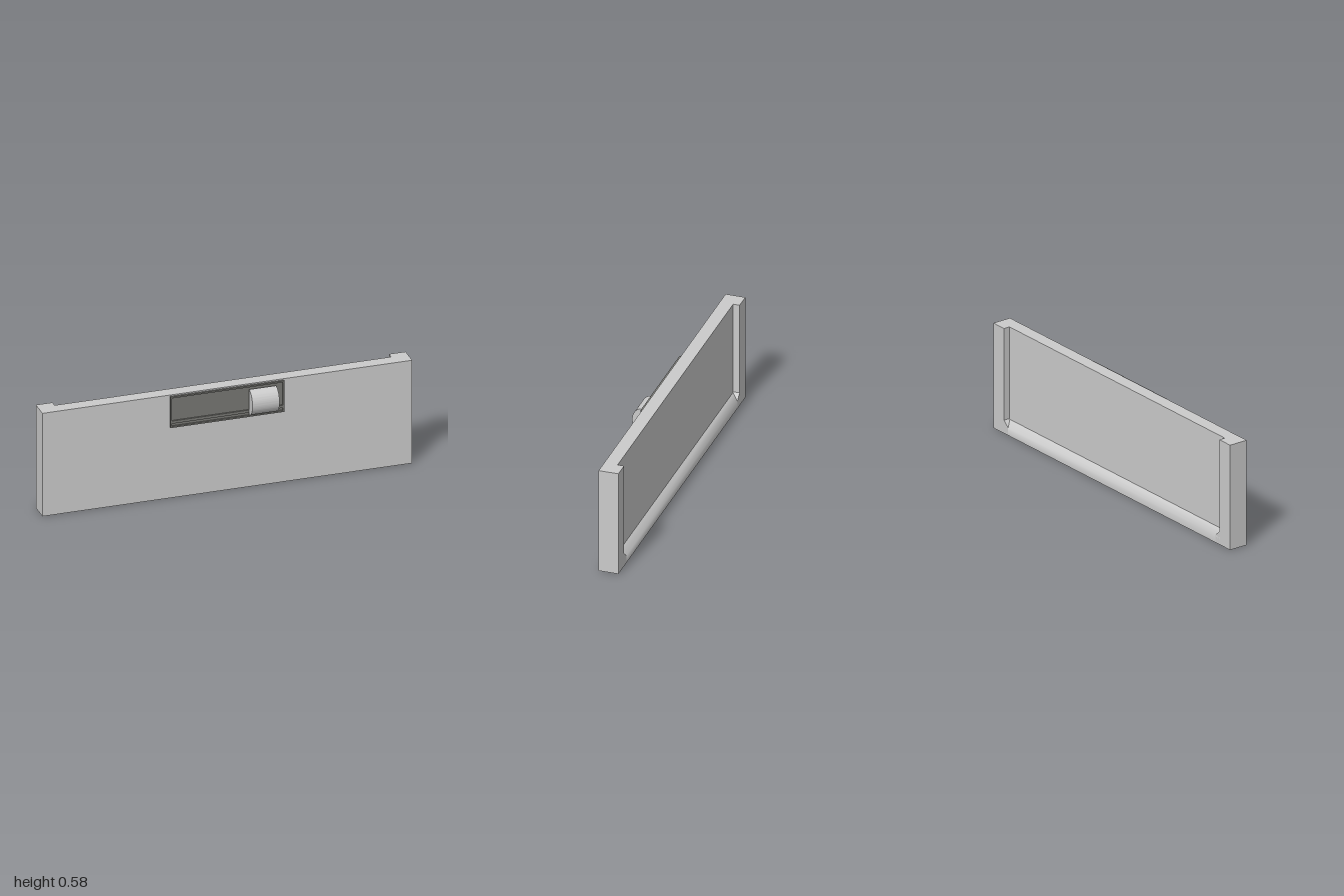
import * as THREE from 'three';
import { toCreasedNormals } from 'three/addons/utils/BufferGeometryUtils.js';

const grey = new THREE.MeshStandardMaterial({ color: 0xcccccc });
const dark = new THREE.MeshStandardMaterial({ color: 0x787874 });

const H = 0.585, FRONT = 0.017, FLOOR = -0.055, BACK = -0.09;

function add(group, name, geometry, material = grey) {
  const mesh = new THREE.Mesh(geometry, material);
  mesh.name = name;
  group.add(mesh);
  return mesh;
}

// box given by its limits on each axis
function box(x0, x1, y0, y1, z0, z1) {
  return new THREE.BoxGeometry(x1 - x0, y1 - y0, z1 - z0)
    .translate((x0 + x1) / 2, (y0 + y1) / 2, (z0 + z1) / 2);
}

function polygon(points) {
  return new THREE.Shape(points.map(([x, y]) => new THREE.Vector2(x, y)));
}

// profile of (z, y) points swept along x
function sweepX(shape, x0, x1, curveSegments = 12) {
  return new THREE.ExtrudeGeometry(shape, { depth: x1 - x0, bevelEnabled: false, curveSegments })
    .rotateY(-Math.PI / 2).scale(1, 1, 1).translate(x1, 0, 0);
}

export function createModel() {
  const model = new THREE.Group();
  model.name = 'drawerFront';

  // front board
  add(model, 'board', box(-1, 1, 0, H, FLOOR, FRONT));

  // raised end posts on the back, with a small chamfer at the foot
  for (const s of [-1, 1]) {
    const outline = polygon([[s, 0], [s, H], [s * 0.91, H], [s * 0.91, 0.073], [s * 0.875, 0.042], [s * 0.875, 0]]);
    const post = new THREE.ExtrudeGeometry(outline, { depth: FLOOR - BACK, bevelEnabled: false });
    add(model, s > 0 ? 'leftPost' : 'rightPost', post.translate(0, 0, BACK));
  }

  // bottom ledge on the back with a softly sloping top
  const ledge = sweepX(polygon([[FLOOR, 0], [FLOOR, 0.07], [BACK, 0.042], [BACK, 0]]), -0.91, 0.91);
  add(model, 'bottomLedge', toCreasedNormals(ledge, 1));

  // latch plate: shallow tray with a raised rim
  const latch = new THREE.Group();
  latch.name = 'latch';
  model.add(latch);
  const rim = polygon([[-0.31, 0.402], [0.306, 0.402], [0.306, 0.578], [-0.31, 0.578]]);
  rim.holes.push(polygon([[-0.302, 0.41], [-0.302, 0.57], [0.298, 0.57], [0.298, 0.41]]));
  add(latch, 'plateRim', new THREE.ExtrudeGeometry(rim, { depth: 0.012, bevelEnabled: false })
    .translate(0, 0, FRONT), dark);
  add(latch, 'plateFloor', box(-0.305, 0.301, 0.406, 0.574, FRONT, 0.019), dark);

  // guide rail and the tab that carries the slider
  add(latch, 'guideRail', box(-0.302, 0.298, 0.425, 0.44, 0.018, 0.027), dark);
  add(latch, 'sliderTab', box(0.12, 0.25, 0.425, 0.44, 0.019, 0.034), dark);

  // half-round slider knob
  const half = new THREE.Shape();
  half.absellipse(0.033, 0.49, 0.058, 0.07, -Math.PI / 2, Math.PI / 2);
  half.closePath();
  add(latch, 'sliderKnob', toCreasedNormals(sweepX(half, 0.112, 0.258, 24), 0.6));

  return model;
}
